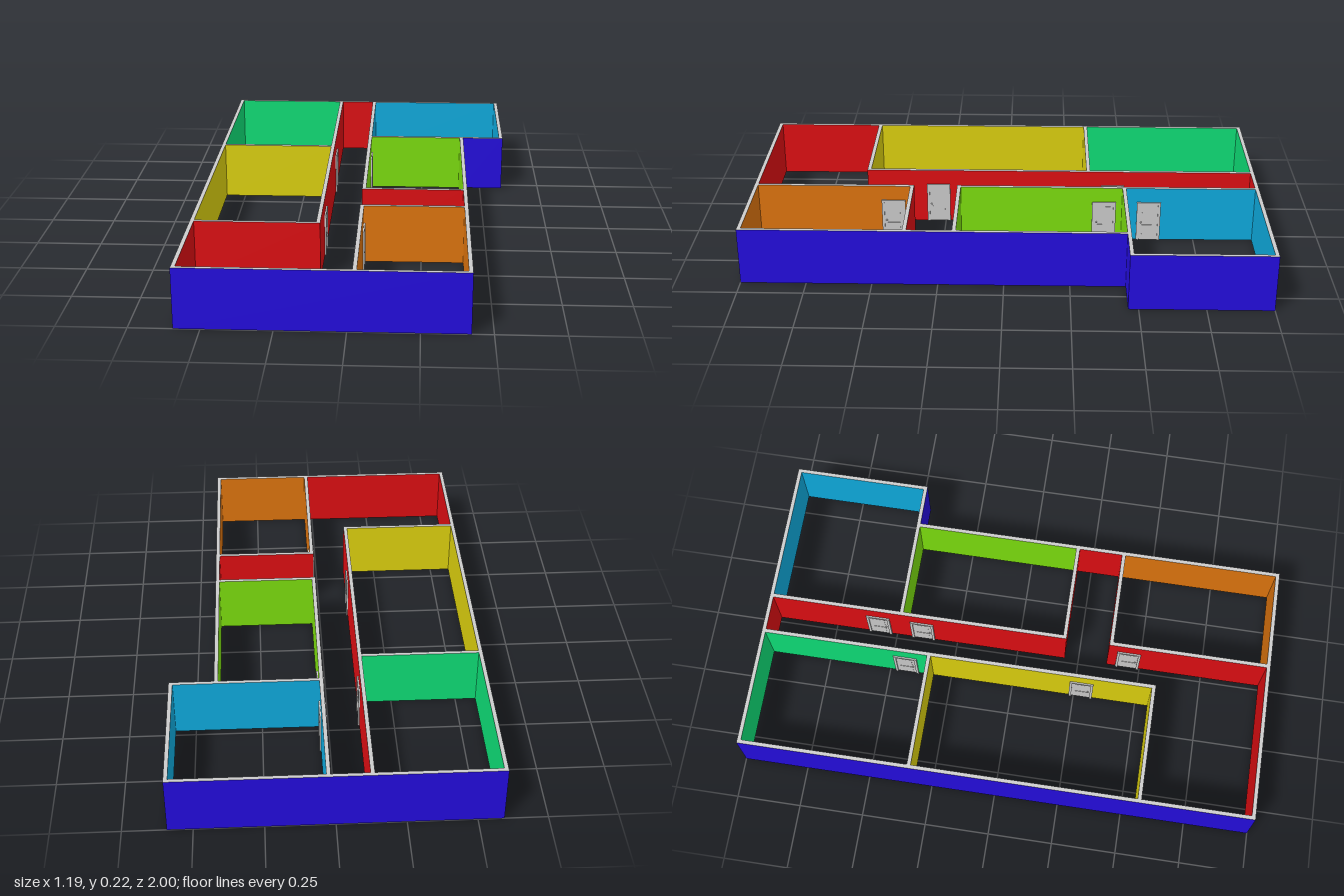
import * as THREE from 'three';

const H = 0.225; // wall height

// Outer footprint as [x, z], ordered so the faces look outwards
const OUTLINE = [[-0.594, 1], [0.424, 1], [0.424, -0.461], [0.592, -0.461], [0.592, -1], [-0.594, -1]];

const rect = (x0, z0, x1, z1) => [[x0, z0], [x1, z0], [x1, z1], [x0, z1]];

// Room footprints, ordered so the faces look into the room
const ROOMS = [
  { name: 'greenRoom', color: 0x0edd76, points: rect(-0.579, -0.985, -0.133, -0.338) },
  { name: 'yellowRoom', color: 0xdcd00e, points: rect(-0.579, -0.323, -0.133, 0.551) },
  { name: 'cyanRoom', color: 0x0eaadd, points: rect(0.034, -0.985, 0.577, -0.476) },
  { name: 'limeRoom', color: 0x7cdd0e, points: rect(0.034, -0.461, 0.409, 0.179) },
  { name: 'orangeRoom', color: 0xdd740e, points: rect(0.034, 0.38, 0.409, 0.985) },
  {
    name: 'hallway', color: 0xdd0e12,
    points: [[-0.118, -0.985], [0.019, -0.985], [0.019, 0.194], [0.409, 0.194], [0.409, 0.365],
      [0.019, 0.365], [0.019, 0.985], [-0.579, 0.985], [-0.579, 0.566], [-0.118, 0.566]],
  },
];

const DOORS = [[-0.1255, -0.43], [-0.1255, 0.278], [0.0265, -0.568], [0.0265, -0.39], [0.0265, 0.448]];

const material = (color) => new THREE.MeshStandardMaterial({ color });

// Vertical faces along a closed footprint
function wallFaces(name, points, color) {
  const pos = [];
  points.forEach(([ax, az], i) => {
    const [bx, bz] = points[(i + 1) % points.length];
    pos.push(ax, 0, az, bx, 0, bz, bx, H, bz, ax, 0, az, bx, H, bz, ax, H, az);
  });
  const geo = new THREE.BufferGeometry();
  geo.setAttribute('position', new THREE.Float32BufferAttribute(pos, 3));
  geo.computeVertexNormals();
  const mesh = new THREE.Mesh(geo, material(color));
  mesh.name = name;
  return mesh;
}

// Flat cap over the wall thickness; side is 1 for the top and -1 for the underside
function wallCap(name, side, mat) {
  const path = (points) => points.map(([x, z]) => new THREE.Vector2(x, -side * z));
  const shape = new THREE.Shape(path(OUTLINE));
  shape.holes = ROOMS.map((r) => new THREE.Path(path(r.points)));
  const mesh = new THREE.Mesh(new THREE.ShapeGeometry(shape).rotateX(-side * Math.PI / 2), mat);
  mesh.position.y = side > 0 ? H : 0;
  mesh.name = name;
  return mesh;
}

// Door standing across a wall that runs along z
function makeDoor(mat) {
  const door = new THREE.Group();
  door.name = 'door';
  const box = (name, w, h, d, x, y, z) => {
    const mesh = new THREE.Mesh(new THREE.BoxGeometry(w, h, d), mat);
    mesh.position.set(x, y, z);
    mesh.name = name;
    door.add(mesh);
  };
  box('doorLeaf', 0.018, 0.155, 0.074, 0, 0.0775, 0);
  box('frameHead', 0.027, 0.01, 0.094, 0, 0.16, 0);
  for (const s of [-1, 1]) {
    box('frameJamb', 0.027, 0.155, 0.01, 0, 0.0775, s * 0.042);
    // Raised panels and handle on each face
    box('lowerPanel', 0.002, 0.052, 0.05, s * 0.0095, 0.04, 0);
    box('upperPanel', 0.002, 0.056, 0.05, s * 0.0095, 0.117, 0);
    const knob = new THREE.Mesh(new THREE.SphereGeometry(0.0035, 10, 8), mat);
    knob.position.set(s * 0.0115, 0.077, 0.029);
    knob.name = 'doorKnob';
    door.add(knob);
  }
  return door;
}

export function createModel() {
  const group = new THREE.Group();
  group.name = 'floorPlan';
  const grey = material(0xcccccc);

  group.add(wallFaces('outerWalls', OUTLINE, 0x240cdd));
  for (const r of ROOMS) group.add(wallFaces(r.name, r.points, r.color));
  group.add(wallCap('wallTops', 1, grey), wallCap('wallBottoms', -1, grey));

  for (const [x, z] of DOORS) {
    const door = makeDoor(grey);
    door.position.set(x, 0, z);
    group.add(door);
  }
  return group;
}
